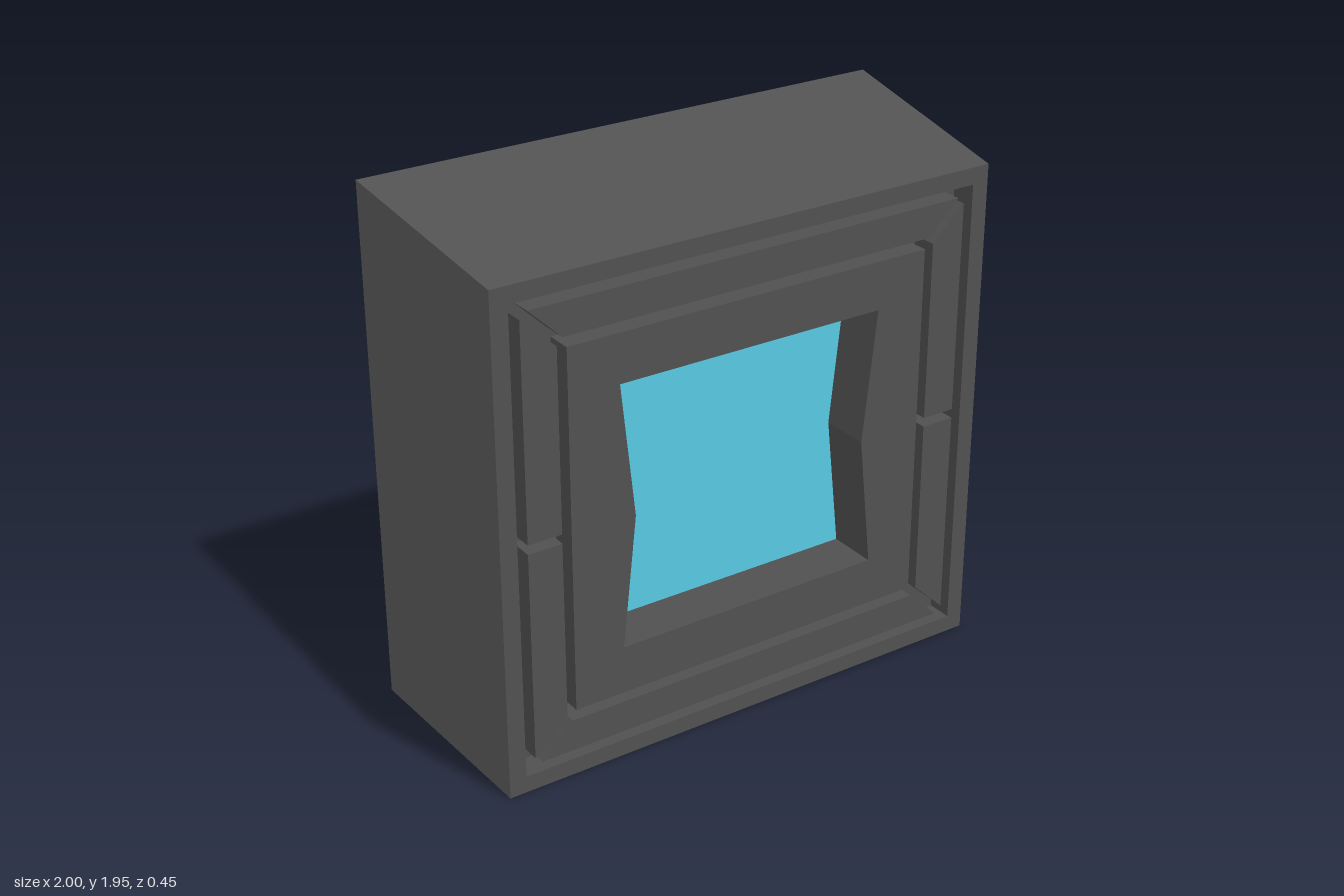
import * as THREE from 'three';

const CX = 0.085, CY = 0.8625;          // centre of the front face
const FRONT = 0.2225, BACK = -0.2225;
const GROOVE = 0.1325, WINDOW = 0.046;  // z of the groove floor and of the window pane
const HW = 0.915, HH = 0.8625;          // half size of the front face
const SHIFT_X = -0.17, SHIFT_Y = 0.225; // slant from front to back

const rect = (w, h) => [[-w, -h], [w, -h], [w, h], [-w, h]];
const toPath = (pts, Type = THREE.Shape) => new Type(pts.map(([x, y]) => new THREE.Vector2(x, y)));

function shapeOf(outline, hole) {
  const shape = toPath(outline);
  if (hole) shape.holes.push(toPath(hole, THREE.Path));
  return shape;
}

// Straight slab between two z planes, placed on the front-face centre
function slab(outline, hole, z0, z1) {
  const geo = new THREE.ExtrudeGeometry(shapeOf(outline, hole), { depth: z1 - z0, bevelEnabled: false });
  return geo.translate(CX, CY, z0);
}

// Slants only the four outer corners; openings stay straight
function slant(geo) {
  const p = geo.attributes.position;
  for (let i = 0; i < p.count; i++) {
    if (Math.abs(p.getX(i) - CX) < HW - 0.01) continue;
    const t = (FRONT - p.getZ(i)) / (FRONT - BACK);
    p.setXY(i, p.getX(i) + SHIFT_X * t, p.getY(i) + SHIFT_Y * t);
  }
  geo.computeVertexNormals();
  return geo;
}

export function createModel() {
  const group = new THREE.Group();
  const dark = new THREE.MeshStandardMaterial({ color: 0x505050 });
  const teal = new THREE.MeshStandardMaterial({ color: 0x58c8e0 });
  const add = (name, geo, mat = dark) => {
    const mesh = new THREE.Mesh(geo, mat);
    mesh.name = name;
    group.add(mesh);
  };

  // Window outline with pinched sides
  const windowPts = [[-0.487, -0.458], [0.487, -0.458], [0.437, 0], [0.487, 0.458], [-0.487, 0.458], [-0.437, 0]];

  // Slanted body and the rim around the recess
  add('body', slant(slab(rect(HW, HH), windowPts, BACK, GROOVE)));
  add('rim', slant(slab(rect(HW, HH), rect(0.855, 0.804), GROOVE, FRONT)));

  // Central slab around the window
  add('centrePanel', slab(rect(0.667, 0.625), windowPts, GROOVE, FRONT));

  // Mitred panels, separated by narrow grooves
  for (const s of [1, -1]) {
    const bar = [[-0.795, 0.771], [0.795, 0.771], [0.68, 0.66], [-0.68, 0.66]];
    add(s > 0 ? 'topPanel' : 'bottomPanel', slab(bar.map(([x, y]) => [x, y * s]), null, GROOVE, FRONT));
    for (const v of [1, -1]) {
      const side = [[0.82, 0.016], [0.82, 0.748], [0.7, 0.636], [0.7, 0.016]];
      const name = (v > 0 ? 'upper' : 'lower') + (s > 0 ? 'Left' : 'Right') + 'Panel';
      add(name, slab(side.map(([x, y]) => [x * s, y * v]), null, GROOVE, FRONT));
    }
  }

  // Coloured pane at the bottom of the window
  add('windowPane', new THREE.ShapeGeometry(shapeOf(windowPts)).translate(CX, CY, WINDOW), teal);

  // Coloured back face
  const back = new THREE.PlaneGeometry(2 * HW, 2 * HH).rotateY(Math.PI);
  add('backPanel', back.translate(CX + SHIFT_X, CY + SHIFT_Y, BACK - 0.001), teal);

  return group;
}
